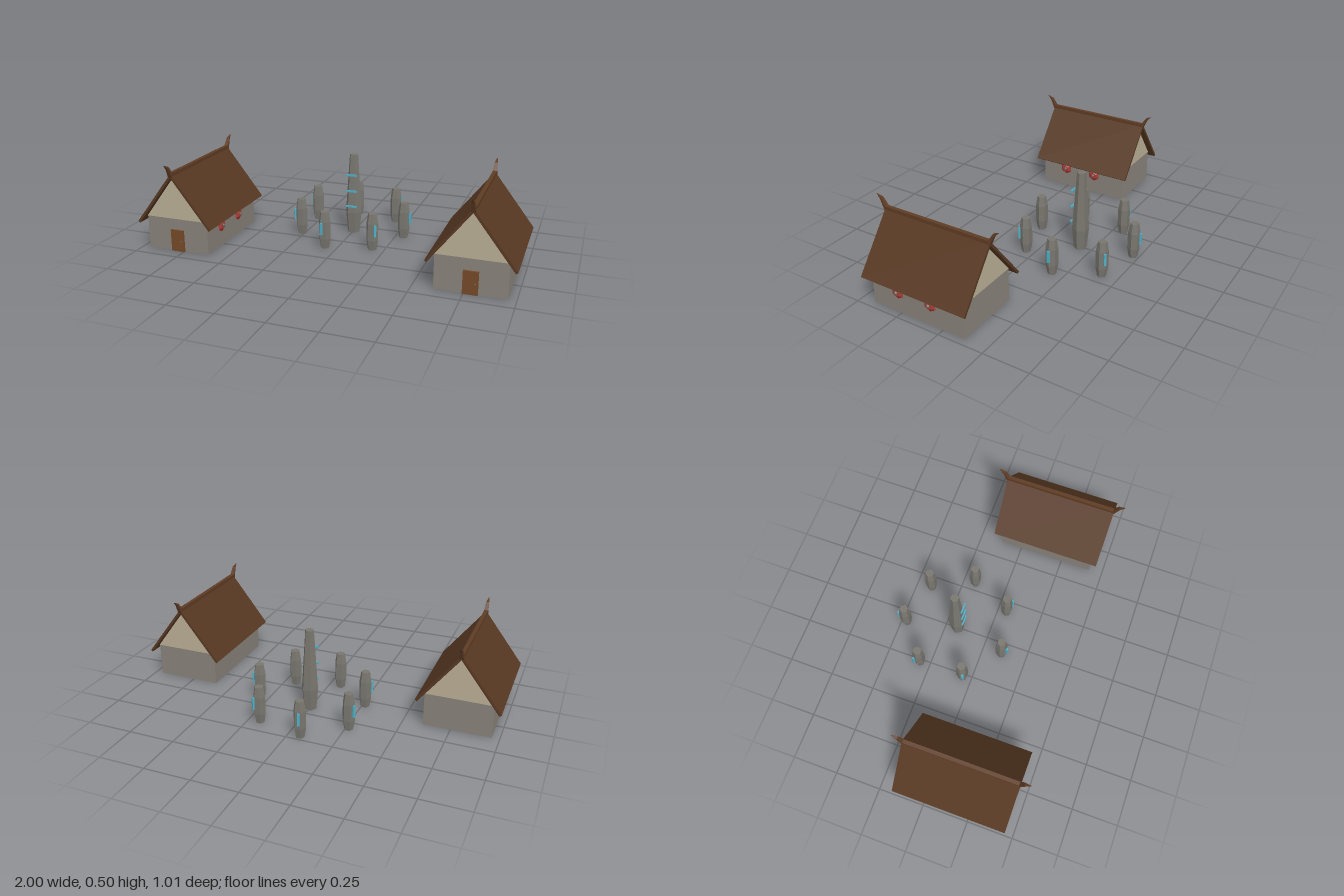
import * as THREE from 'three';

const material = (name, color) => {
  const m = new THREE.MeshStandardMaterial({ color, flatShading: true });
  m.name = name;
  return m;
};

export function createModel() {
  const wallGrey = material('wall stone', 0x88817a);
  const plaster = material('gable plaster', 0xb9ad95);
  const roofBrown = material('roof timber', 0x573822);
  const ridgeBrown = material('ridge timber', 0x5f3c24);
  const doorBrown = material('door wood', 0x744a28);
  const iron = material('iron', 0x66645f);
  const red = material('shield red', 0xa83c36);
  const stoneGrey = material('standing stone', 0x79766f);
  const runeBlue = material('rune blue', 0x4fb0c6);

  const add = (parent, name, geometry, mat, x = 0, y = 0, z = 0) => {
    const mesh = new THREE.Mesh(geometry, mat);
    mesh.name = name;
    mesh.position.set(x, y, z);
    parent.add(mesh);
    return mesh;
  };
  const group = (parent, name, x = 0, y = 0, z = 0) => {
    const g = new THREE.Group();
    g.name = name;
    g.position.set(x, y, z);
    parent.add(g);
    return g;
  };
  // Extrusion of an outline, centred on z = 0
  const prism = (points, depth) => {
    const shape = new THREE.Shape(points.map(([x, y]) => new THREE.Vector2(x, y)));
    return new THREE.ExtrudeGeometry(shape, { depth, bevelEnabled: false }).translate(0, 0, -depth / 2);
  };

  // Upswept horn at a ridge end, narrowing towards its tip
  const hornGeometry = prism([[-0.005, 0.425], [0, 0.418], [0.025, 0.47], [0.05, 0.496],
    [0.018, 0.482], [-0.007, 0.442]], 0.024).rotateY(-Math.PI / 2);
  const p = hornGeometry.attributes.position;
  for (let i = 0; i < p.count; i++) {
    p.setX(i, p.getX(i) * (1 - 0.85 * Math.max(0, p.getZ(i)) / 0.05));
  }
  hornGeometry.computeVertexNormals();

  const buildHouse = (parent, name, x) => {
    const house = group(parent, name, x, 0, 0.1475);
    add(house, 'walls', new THREE.BoxGeometry(0.355, 0.18, 0.545), wallGrey, 0, 0.09);
    add(house, 'gable', prism([[-0.18, 0.18], [0.18, 0.18], [0, 0.416]], 0.545), plaster);
    add(house, 'roof', prism([[0, 0.437], [-0.2175, 0.155], [-0.207, 0.147],
      [0, 0.415], [0.207, 0.147], [0.2175, 0.155]], 0.615), roofBrown);
    add(house, 'ridgeBeam', new THREE.BoxGeometry(0.02, 0.02, 0.617), ridgeBrown, 0, 0.433);
    for (const [hornName, side] of [['frontHorn', 1], ['backHorn', -1]]) {
      const horn = add(house, hornName, hornGeometry, ridgeBrown, 0, 0, side * 0.3075);
      if (side < 0) horn.rotation.y = Math.PI;
    }
    // Door with a small knob
    add(house, 'door', new THREE.BoxGeometry(0.075, 0.12, 0.012), doorBrown, 0, 0.06, 0.2765);
    add(house, 'doorKnob', new THREE.IcosahedronGeometry(0.005, 0), iron, 0.022, 0.057, 0.284);
    // Shields hung on the left wall
    for (const z of [0.265, 0.07]) {
      const shield = group(house, 'shield', 0.1775, 0.115, z - 0.1475);
      shield.rotation.z = -Math.PI / 2;
      add(shield, 'shieldFace',
        new THREE.CylinderGeometry(0.02, 0.037, 0.012, 6).rotateY(Math.PI / 2), red, 0, 0.006);
      add(shield, 'shieldBoss',
        new THREE.CylinderGeometry(0.006, 0.011, 0.008, 6).rotateY(Math.PI / 2), iron, 0, 0.015);
    }
  };

  // Six-sided stone from radius and height pairs
  const stoneGeometry = (profile) => new THREE.LatheGeometry(
    profile.map(([r, y]) => new THREE.Vector2(r, y)), 6).rotateY(Math.PI / 2);

  const model = new THREE.Group();
  model.name = 'village';
  buildHouse(model, 'rightHouse', -0.7825);
  buildHouse(model, 'leftHouse', 0.7825);

  // Central monolith with three rune bars
  const circle = group(model, 'stoneCircle', 0, 0, -0.18);
  add(circle, 'monolith', stoneGeometry([[0, 0], [0.035, 0], [0.046, 0.12],
    [0.043, 0.17], [0.024, 0.455], [0, 0.455]]), stoneGrey);
  for (const y of [0.16, 0.25, 0.343]) {
    add(circle, 'runeBar', new THREE.BoxGeometry(0.062, 0.01, 0.008), runeBlue, 0, y, 0.044);
  }

  // Ring of seven smaller stones, each with a rune facing outwards
  const smallStone = stoneGeometry([[0, 0], [0.024, 0], [0.033, 0.055],
    [0.033, 0.15], [0.024, 0.205], [0, 0.205]]);
  for (let i = 0; i < 7; i++) {
    const a = (i / 7) * Math.PI * 2;
    const c = Math.cos(a), s = Math.sin(a);
    add(circle, 'ringStone', smallStone, stoneGrey, c * 0.295, 0, s * 0.295);
    const rune = add(circle, 'rune', new THREE.BoxGeometry(0.01, 0.066, 0.013), runeBlue,
      c * 0.331, 0.115, s * 0.331);
    rune.rotation.y = -a;
  }
  return model;
}
